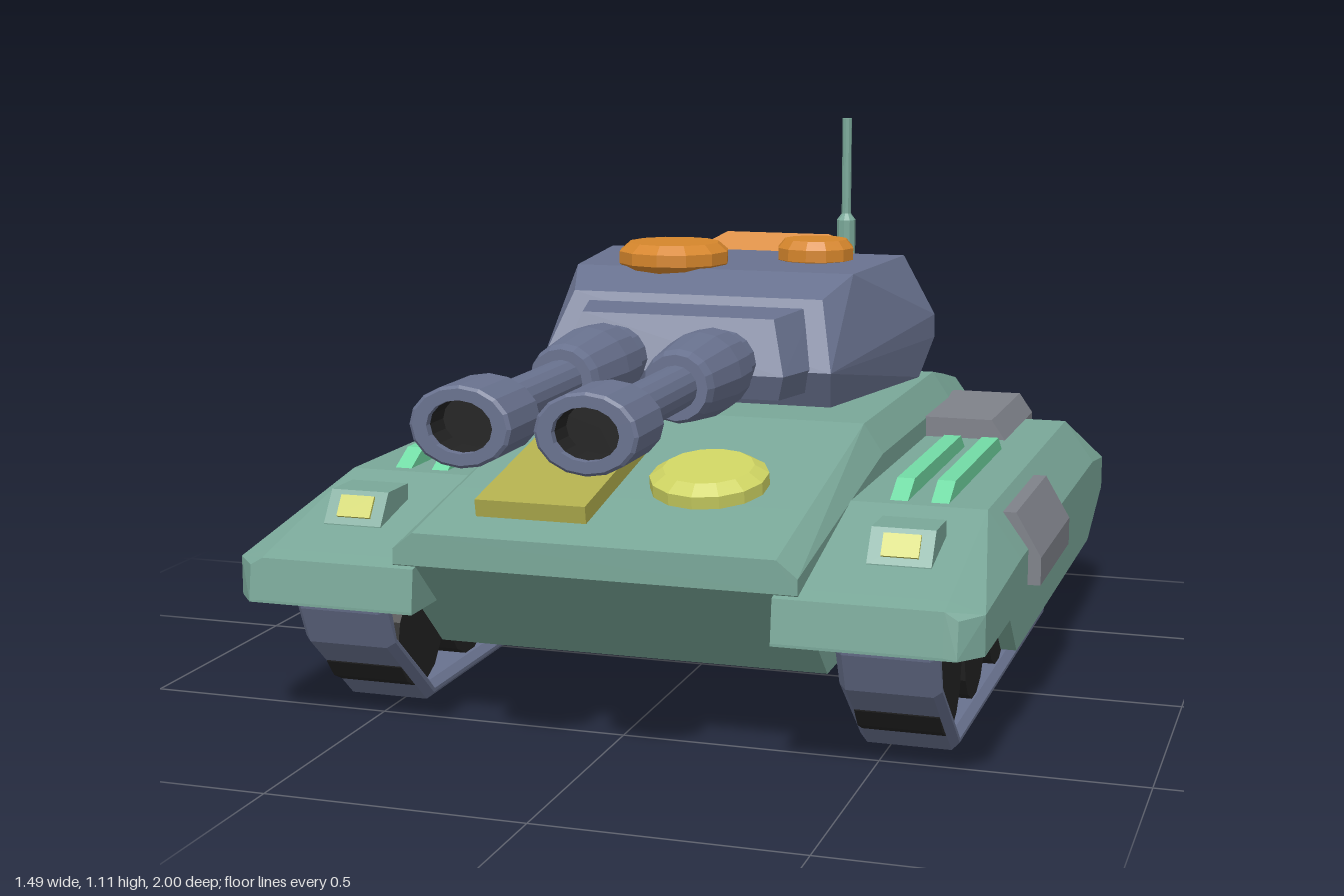
import * as THREE from 'three';
import { ConvexGeometry } from 'three/addons/geometries/ConvexGeometry.js';

const mat = (name, color, extra = {}) => {
  const m = new THREE.MeshStandardMaterial({ color, flatShading: true, ...extra });
  m.name = name;
  return m;
};

export function createModel() {
  const green = mat('hull green', 0x7aa899);
  const slate = mat('slate blue', 0x69728f);
  const grey = mat('vent grey', 0x7f828a);
  const black = mat('wheel black', 0x232323, { side: THREE.DoubleSide });
  const orange = mat('hatch orange', 0xd6862c);
  const olive = mat('panel olive', 0xb2af4e);
  const yellow = mat('lamp yellow', 0xcdd262);
  const mint = mat('mint bar', 0x72dba5);

  const model = new THREE.Group();
  model.name = 'tank';
  const add = (name, geo, material, parent = model) => {
    const m = new THREE.Mesh(geo, material);
    m.name = name;
    parent.add(m);
    return m;
  };
  // Convex solid from points, optionally mirrored across x
  const solid = (pts, mirror = true) => new ConvexGeometry(pts.flatMap(([x, y, z]) =>
    mirror ? [new THREE.Vector3(x, y, z), new THREE.Vector3(-x, y, z)] : [new THREE.Vector3(x, y, z)]));
  const shapeOf = (pts) => new THREE.Shape(pts.map(([a, b]) => new THREE.Vector2(a, b)));
  // Side profile of [z, y] points, extruded from x0 to x1
  const slab = (pts, x0, x1, bevel = 0) => {
    const g = new THREE.ExtrudeGeometry(shapeOf(pts), {
      depth: x1 - x0 - 2 * bevel, bevelEnabled: bevel > 0, bevelSize: bevel,
      bevelThickness: bevel, bevelOffset: -bevel, bevelSegments: 1,
    });
    g.rotateY(-Math.PI / 2);
    g.translate(x1 - bevel, 0, 0);
    return g;
  };
  // Front profile of [x, y] points, extruded from z0 to z1
  const bar = (pts, z0, z1) => {
    const g = new THREE.ExtrudeGeometry(shapeOf(pts), { depth: z1 - z0, bevelEnabled: false });
    g.translate(0, 0, z0);
    return g;
  };
  // Lathe of [radius, height] points
  const turned = (pts, sides) =>
    new THREE.LatheGeometry(pts.map(([r, h]) => new THREE.Vector2(r, h)), sides);

  // Hull: stations [z, bottom, shoulder, top]
  const hull = [[0.68, 0.35, 0.38, 0.412], [0.46, 0.145, 0.41, 0.455], [0.02, 0.145, 0.48, 0.54],
    [-0.66, 0.145, 0.48, 0.54], [-0.78, 0.145, 0.46, 0.517], [-0.93, 0.2, 0.43, 0.485]];
  add('hull', solid(hull.flatMap(([z, b, s, t]) => [[0.39, b, z], [0.39, s, z], [0.35, t, z]])), green);

  // Glacis panel and round hatch, tilted with the front slope
  const slope = Math.atan2(0.128, 0.66);
  const panel = add('glacisPanel', new THREE.BoxGeometry(0.22, 0.05, 0.355), olive);
  panel.position.set(-0.15, 0.473, 0.415);
  panel.rotation.x = slope;
  const round = add('driverHatch', turned([[0, -0.03], [0.115, -0.03], [0.115, 0.02], [0.088, 0.037], [0, 0.037]], 14), yellow);
  round.position.set(0.135, 0.475, 0.38);
  round.rotation.x = slope;

  // Rear exhausts with a tapered frame
  for (const s of [1, -1]) {
    const frame = shapeOf([[-0.15, -0.082], [0.15, -0.082], [0.15, 0.082], [-0.15, 0.082]]);
    frame.holes.push(new THREE.Path([[-0.1, -0.035], [-0.1, 0.035], [0.1, 0.035], [0.1, -0.035]]
      .map(([a, b]) => new THREE.Vector2(a, b))));
    const g = new THREE.ExtrudeGeometry(frame, { depth: 0.09, bevelEnabled: false });
    const p = g.attributes.position;
    for (let i = 0; i < p.count; i++) {
      if (p.getZ(i) > 0.05) p.setXY(i, p.getX(i) * 0.91, p.getY(i) * 0.8);
    }
    const ex = new THREE.Group();
    ex.name = s > 0 ? 'leftExhaust' : 'rightExhaust';
    ex.position.set(s * 0.195, 0.375, -0.91);
    ex.rotation.y = Math.PI;
    add('exhaustFrame', g, green, ex);
    add('exhaustGlow', new THREE.BoxGeometry(0.21, 0.08, 0.008), olive, ex).position.z = 0.05;
    model.add(ex);
  }

  // Running gear and fenders, one group per side
  const buildSide = (s) => {
    const side = new THREE.Group();
    side.name = s > 0 ? 'leftSide' : 'rightSide';
    const X = (a, b) => (s > 0 ? [a, b] : [-b, -a]);
    const flip = (pts) => pts.map(([x, ...r]) => [s * x, ...r]);

    // Fender: stations [z, top, edge height, outer x]
    const fender = [[0.7, 0.265, 0.262, 0.68], [0.69, 0.345, 0.33, 0.68], [0.65, 0.355, 0.335, 0.72], [0.29, 0.44, 0.35, 0.72],
      [-0.67, 0.44, 0.35, 0.72], [-0.83, 0.38, 0.33, 0.72], [-0.88, 0.35, 0.325, 0.675]];
    add('fender', solid(flip(fender.flatMap(([z, t, e, x]) =>
      [[0.345, 0.26, z], [0.345, t, z], [0.655, t, z], [x, e, z], [x, 0.26, z]])), false), green, side);
    add('skirt', slab([[0.65, 0.33], [0.65, 0.26], [0.4, 0.26], [0.32, 0.18], [-0.62, 0.18],
      [-0.83, 0.26], [-0.83, 0.33]], ...X(0.69, 0.72)), green, side);

    // Track band
    add('track', slab([[0.625, 0.28], [0.615, 0.23], [0.58, 0.155], [0.4, 0], [-0.59, 0], [-0.775, 0.16], [-0.815, 0.28],
      [-0.775, 0.28], [-0.74, 0.175], [-0.575, 0.035], [0.385, 0.035], [0.55, 0.175], [0.585, 0.28]],
    ...X(0.44, 0.63), 0.014), slate, side);
    for (const z of [0.42, 0.175, -0.075, -0.32, -0.575]) {
      const w = add('wheel', new THREE.CylinderGeometry(0.105, 0.105, 0.16, 14), black, side);
      w.rotation.z = Math.PI / 2;
      w.position.set(s * 0.535, 0.142, z);
    }

    // Side and top vents
    add('sideVent', bar(flip([[0.66, 0.4], [0.69, 0.28], [0.745, 0.28], [0.745, 0.335], [0.695, 0.42], [0.665, 0.42]]),
      -0.15, 0.21), grey, side);
    add('topVent', bar(flip([[0.38, 0.42], [0.565, 0.42], [0.565, 0.44], [0.535, 0.483], [0.38, 0.483]]),
      -0.76, -0.4), grey, side);

    // Bright bars along the fender top
    for (const x of [0.46, 0.54]) {
      add('fenderBar', slab([[0.29, 0.425], [0.2, 0.472], [-0.26, 0.472], [-0.31, 0.435]], ...X(x, x + 0.035)), mint, side);
    }

    // Headlight with lamp plate on its sloped face
    add('headlightBox', slab([[0.54, 0.36], [0.54, 0.383], [0.5, 0.443], [0.41, 0.443], [0.41, 0.39]], ...X(0.48, 0.6)), green, side);
    const lamp = add('headlightLamp', new THREE.BoxGeometry(0.07, 0.045, 0.008), yellow, side);
    lamp.position.set(s * 0.54, 0.415, 0.5205);
    lamp.rotation.x = -Math.atan2(0.04, 0.06);
    model.add(side);
  };
  buildSide(1);
  buildSide(-1);

  // Turret body: lower, middle and upper outlines
  const turret = new THREE.Group();
  turret.name = 'turret';
  model.add(turret);
  add('turretBody', solid([
    [0.295, 0.58, 0.08], [0.385, 0.58, -0.34], [0.25, 0.63, -0.76],
    [0.305, 0.655, 0.12], [0.405, 0.66, -0.4], [0.405, 0.71, -0.4], [0.26, 0.71, -0.77],
    [0.265, 0.79, 0.035], [0.3, 0.83, -0.08], [0.335, 0.836, -0.4], [0.24, 0.78, -0.755]]), slate, turret);
  add('mantlet', solid([
    [0.22, 0.61, 0.2], [0.27, 0.61, 0], [0.235, 0.66, 0.22], [0.29, 0.66, 0],
    [0.2, 0.765, 0.165], [0.24, 0.775, 0]]), slate, turret);

  // Twin guns, pointing along +z
  for (const s of [1, -1]) {
    const gun = new THREE.Group();
    gun.name = s > 0 ? 'leftGun' : 'rightGun';
    gun.position.set(s * 0.112, 0.682, 0);
    gun.rotation.x = Math.PI / 2;
    add('barrel', turned([[0, 0.16], [0.045, 0.17], [0.065, 0.21], [0.065, 0.28], [0.08, 0.285], [0.083, 0.37],
      [0.07, 0.5], [0.062, 0.52], [0.042, 0.52], [0.042, 0.87]], 16), slate, gun);
    const muzzle = new THREE.Group();
    muzzle.name = 'muzzle';
    muzzle.scale.set(1.3, 1, 1);
    add('muzzleSleeve', turned([[0.066, 0.858], [0.071, 0.865], [0.071, 0.995], [0.066, 1], [0.046, 1], [0.046, 0.94]], 16), slate, muzzle);
    add('bore', turned([[0.0455, 0.985], [0.0455, 0.93], [0, 0.93]], 16), black, muzzle);
    add('muzzleBack', turned([[0.03, 0.86], [0.067, 0.86]], 16), black, muzzle);
    gun.add(muzzle);
    turret.add(gun);
  }

  // Roof hatches
  for (const [x, z, r] of [[-0.11, -0.155, 0.118], [0.163, -0.3, 0.083]]) {
    add('roofHatch', turned([[0, 0], [r * 0.85, 0], [r, 0.02], [r, 0.045], [r * 0.82, 0.063], [0, 0.063]], 12),
      orange, turret).position.set(x, 0.814, z);
  }
  add('rearHatch', solid([
    [0.195, 0.79, -0.54], [0.195, 0.815, -0.54], [0.14, 0.77, -0.71], [0.14, 0.79, -0.71],
    [0.12, 0.857, -0.585], [0.125, 0.835, -0.69]]), orange, turret);

  // Antenna
  add('antenna', turned([[0, 0.7], [0.04, 0.7], [0.04, 0.75], [0.022, 0.765], [0.022, 0.87], [0.011, 0.885],
    [0.011, 1.108], [0, 1.108]], 10), green, turret).position.set(0.107, 0, -0.8);

  return model;
}
